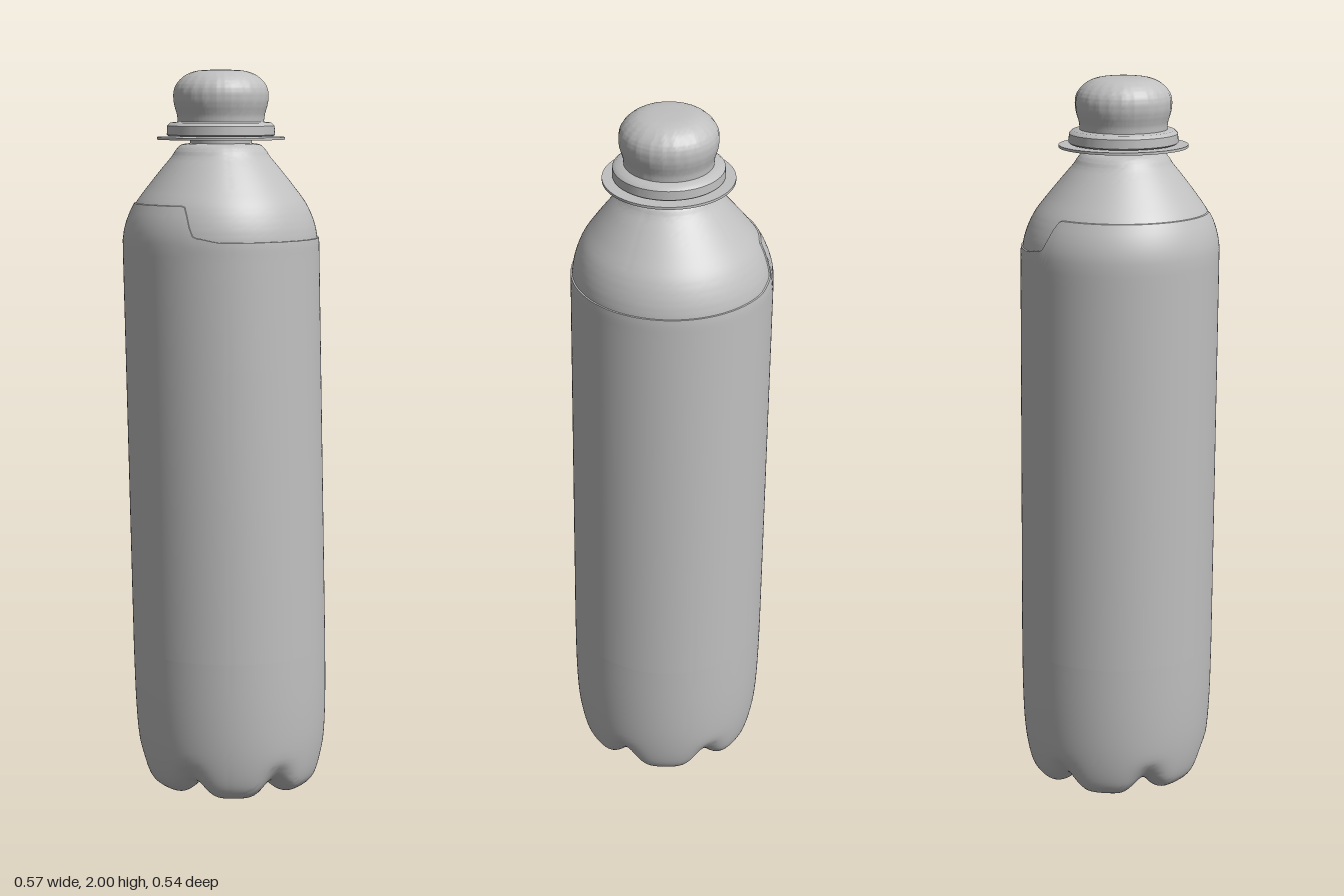
import * as THREE from 'three';
import { toCreasedNormals } from 'three/addons/utils/BufferGeometryUtils.js';

const smooth = (a, b, x) => THREE.MathUtils.smoothstep(x, a, b);
const points = (list) => list.map(([r, y]) => new THREE.Vector2(r, y));
const curve = (list, n) => new THREE.SplineCurve(points(list)).getPoints(n);

// The bottle leans slightly: axis position at height y
const axisX = (y) => 0.016 - 0.021 * Math.min(y, 1.55);
const axisZ = (y) => 0.01 * smooth(1.5, 1.8, y);

// Ring surface: profile rows run from top to bottom, shape(angle, row) gives [radius, height]
function ringSurface(rows, shape, sides = 96, crease = 0.7) {
  const geo = new THREE.PlaneGeometry(1, 1, sides, rows - 1);
  const pos = geo.attributes.position;
  for (let i = 0; i < pos.count; i++) {
    const a = ((i % (sides + 1)) % sides) / sides * Math.PI * 2;
    const [r, y] = shape(a, Math.floor(i / (sides + 1)));
    pos.setXYZ(i, axisX(y) + r * Math.sin(a), y, axisZ(y) + r * Math.cos(a));
  }
  geo.deleteAttribute('uv');
  return toCreasedNormals(geo, crease);
}

const turned = (profile, sides) =>
  ringSurface(profile.length, (a, row) => [profile[row].x, profile[row].y], sides);

// Shoulder profile, from neck to body
const shoulder = curve([
  [0.085, 1.801], [0.108, 1.797], [0.124, 1.782], [0.135, 1.765], [0.16, 1.735],
  [0.2, 1.685], [0.235, 1.637], [0.256, 1.59], [0.266, 1.545], [0.267, 1.5],
], 60);

function shoulderRadius(y) {
  for (let i = 1; i < shoulder.length; i++) {
    const p = shoulder[i - 1], q = shoulder[i];
    if (y >= q.y) return THREE.MathUtils.mapLinear(y, p.y, q.y, p.x, q.x);
  }
  return shoulder[shoulder.length - 1].x;
}

// Sleeve whose upper edge steps up over the shoulder on the right side
function sleeveGeometry() {
  const levels = [0, 0.01, 0.15, 0.3, 0.45, 0.6, 0.8, 1];
  const lower = [1.2, 0.8, 0.4];
  return ringSurface(levels.length + lower.length, (a, row) => {
    if (row >= levels.length) return [0.271, lower[row - levels.length]];
    const side = -Math.sin(a);
    const edge = 1.545 + 0.012 * smooth(0, 0.3, side) + 0.083 * smooth(0.28, 0.44, side);
    const y = THREE.MathUtils.lerp(edge, 1.47, levels[row]);
    return [row === 0 ? shoulderRadius(y) - 0.002 : shoulderRadius(y) + 0.004, y];
  }, 144);
}

// Base with six radial grooves between the feet and a recessed centre
function baseGeometry() {
  const profile = curve([
    [0.271, 0.4], [0.269, 0.25], [0.263, 0.14], [0.25, 0.06], [0.232, 0.022], [0.2, 0.003],
    [0.16, 0.005], [0.115, 0.028], [0.08, 0.045], [0.065, 0.062], [0.03, 0.065], [0, 0.065],
  ], 50);
  return ringSurface(profile.length, (a, row) => {
    const r = Math.max(profile[row].x, 0), y = Math.max(profile[row].y, 0);
    const groove = Math.pow(0.5 - 0.5 * Math.cos(6 * a), 3);
    const w = groove * smooth(0.05, 0.1, r) * (1 - smooth(0.02, 0.13, r > 0.2 ? y : 0));
    return [r - 0.006 * w, y + 0.042 * w];
  }, 144, 1.0);
}

// Domed cap with faint ribs round its upper edge
function capGeometry() {
  const profile = curve([
    [0, 2], [0.06, 1.997], [0.095, 1.986], [0.12, 1.964], [0.13, 1.94],
    [0.129, 1.91], [0.12, 1.878], [0.118, 1.855],
  ], 32);
  return ringSurface(profile.length, (a, row) => {
    const { x, y } = profile[row];
    const w = smooth(0.04, 0.11, x) * smooth(1.88, 1.94, y);
    return [Math.max(x, 0) * (1 - 0.012 * w * (0.5 + 0.5 * Math.cos(24 * a))), y];
  }, 144);
}

export function createModel() {
  const plastic = new THREE.MeshStandardMaterial({ color: 0xc0c0c0 });
  plastic.name = 'grey plastic';
  const group = new THREE.Group();
  group.name = 'bottle';
  const add = (name, geo) => {
    const mesh = new THREE.Mesh(geo, plastic);
    mesh.name = name;
    group.add(mesh);
  };

  add('base', baseGeometry());
  add('sleeve', sleeveGeometry());
  add('shoulder', turned(shoulder));
  add('neck', turned(points([[0.085, 1.825], [0.085, 1.798]])));
  // Thin flange below the cap
  add('neckFlange', turned(points([[0, 1.818], [0.175, 1.818], [0.175, 1.811], [0, 1.811]])));
  // Locking ring at the foot of the cap
  add('capRing', turned(points([
    [0.11, 1.86], [0.138, 1.857], [0.147, 1.848], [0.148, 1.824], [0.143, 1.82], [0, 1.82],
  ])));
  add('cap', capGeometry());
  return group;
}
